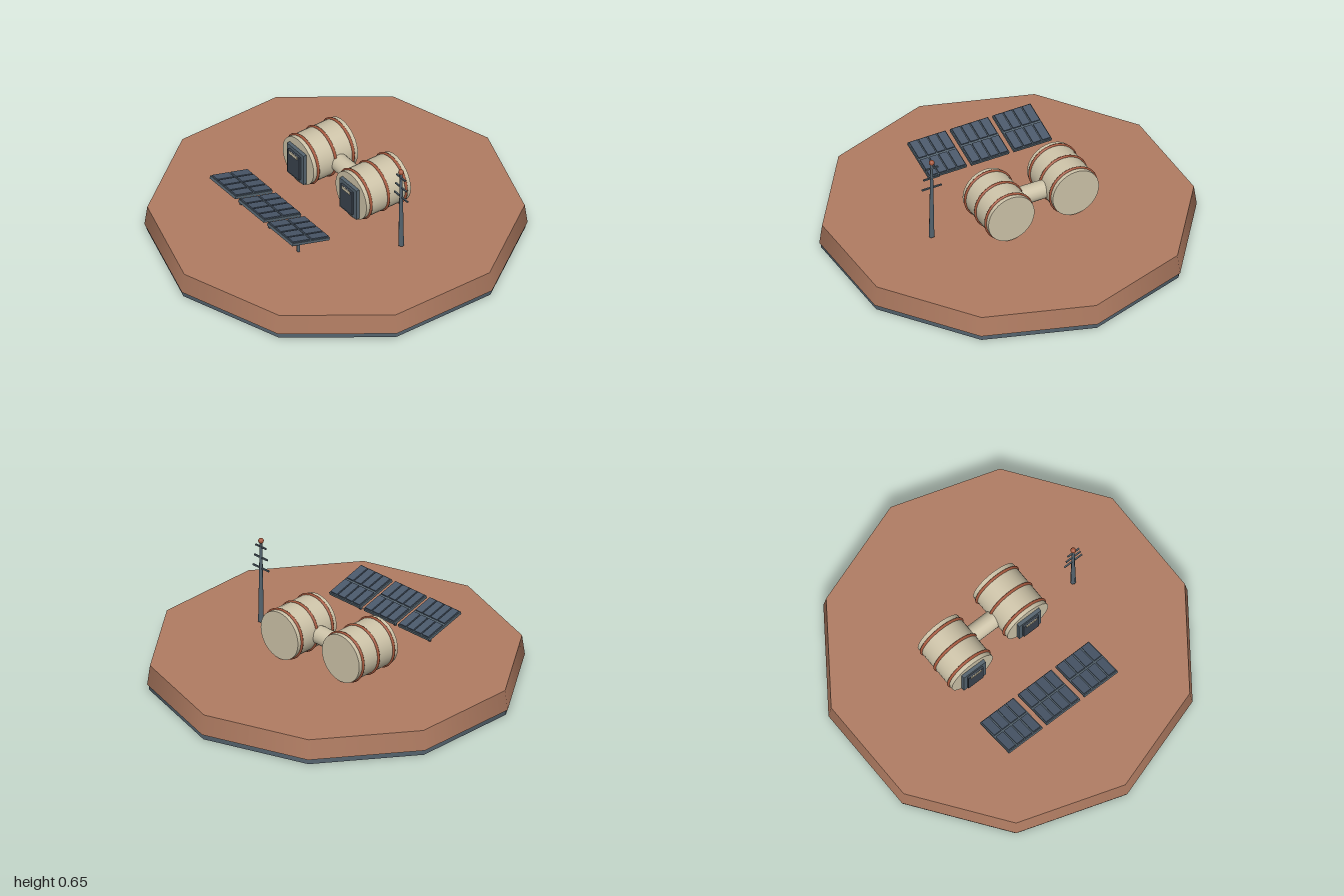
import * as THREE from 'three';

const mat = (name, color) => {
  const m = new THREE.MeshStandardMaterial({ color });
  m.name = name;
  return m;
};

export function createModel() {
  const soil = mat('red soil', 0xb07c62);
  const hull = mat('beige hull', 0xcdc3a8);
  const rust = mat('rust trim', 0xa4573c);
  const slate = mat('slate metal', 0x55646f);
  const dark = mat('dark metal', 0x3a434e);
  const cell = mat('solar cell', 0x4a586a);

  const root = new THREE.Group();
  root.name = 'outpost';
  const add = (parent, name, geo, material, x = 0, y = 0, z = 0) => {
    const m = new THREE.Mesh(geo, material);
    m.name = name;
    m.position.set(x, y, z);
    parent.add(m);
    return m;
  };
  const group = (name, x, y, z) => {
    const g = new THREE.Group();
    g.name = name;
    g.position.set(x, y, z);
    root.add(g);
    return g;
  };
  const box = (w, h, d) => new THREE.BoxGeometry(w, h, d);

  // Ten-sided ground slab on a thin plate
  add(root, 'basePlate', new THREE.CylinderGeometry(0.99, 0.99, 0.03, 10), slate, 0, 0.015, 0);
  add(root, 'groundSlab', new THREE.CylinderGeometry(0.985, 1, 0.112, 10), soil, 0, 0.086, 0);

  // Habitat drums lying along z, with hoops and a door on the front end
  const drumLength = 0.288;
  const drumGeo = new THREE.CylinderGeometry(0.136, 0.136, drumLength, 32).rotateX(Math.PI / 2);
  const hoopGeo = new THREE.TorusGeometry(0.136, 0.008, 8, 40);
  const habitat = (name, x, z) => {
    const g = group(name, x, 0.292, z);
    add(g, 'drum', drumGeo, hull);
    for (const dz of [-0.114, 0, 0.114]) add(g, 'hoop', hoopGeo, rust, 0, 0, dz);
    const front = drumLength / 2;
    add(g, 'doorFrame', box(0.146, 0.188, 0.02), slate, 0, -0.012, front + 0.01);
    add(g, 'door', box(0.1, 0.146, 0.012), dark, 0, -0.012, front + 0.026);
    add(g, 'doorWindow', box(0.07, 0.018, 0.005), hull, 0, 0.05, front + 0.0335);
  };
  habitat('rightHabitat', -0.272, -0.1);
  habitat('leftHabitat', 0.132, -0.144);

  // Tunnel joining the drums
  add(root, 'tunnel', new THREE.CylinderGeometry(0.05, 0.05, 0.2, 20).rotateZ(Math.PI / 2),
    hull, -0.07, 0.285, -0.125);

  // Tilted solar panels on posts
  const cellGeo = box(0.047, 0.008, 0.112);
  const postGeo = new THREE.CylinderGeometry(0.009, 0.009, 0.125, 10);
  for (const x of [-0.294, -0.043, 0.208]) {
    const g = group('solarPanel', x, 0, 0.398);
    add(g, 'post', postGeo, slate, 0, 0.2185, 0);
    const board = new THREE.Group();
    board.name = 'board';
    board.position.y = 0.284;
    board.rotation.x = -0.28;
    g.add(board);
    add(board, 'panelFrame', box(0.224, 0.016, 0.25), slate);
    for (let i = 0; i < 4; i++) {
      for (const z of [-0.063, 0.063]) {
        add(board, 'solarCell', cellGeo, cell, (i - 1.5) * 0.055, 0.011, z);
      }
    }
  }

  // Antenna mast with crossbars and a ball tip
  const mast = group('antennaMast', 0.485, 0, -0.064);
  add(mast, 'pole', new THREE.CylinderGeometry(0.007, 0.015, 0.47, 8), slate, 0, 0.391, 0);
  for (const [y, w] of [[0.473, 0.116], [0.535, 0.096], [0.598, 0.076]]) {
    add(mast, 'crossbar', box(w, 0.008, 0.008), slate, 0, y, 0);
  }
  add(mast, 'beacon', new THREE.SphereGeometry(0.015, 14, 10), rust, 0, 0.634, 0);

  return root;
}
